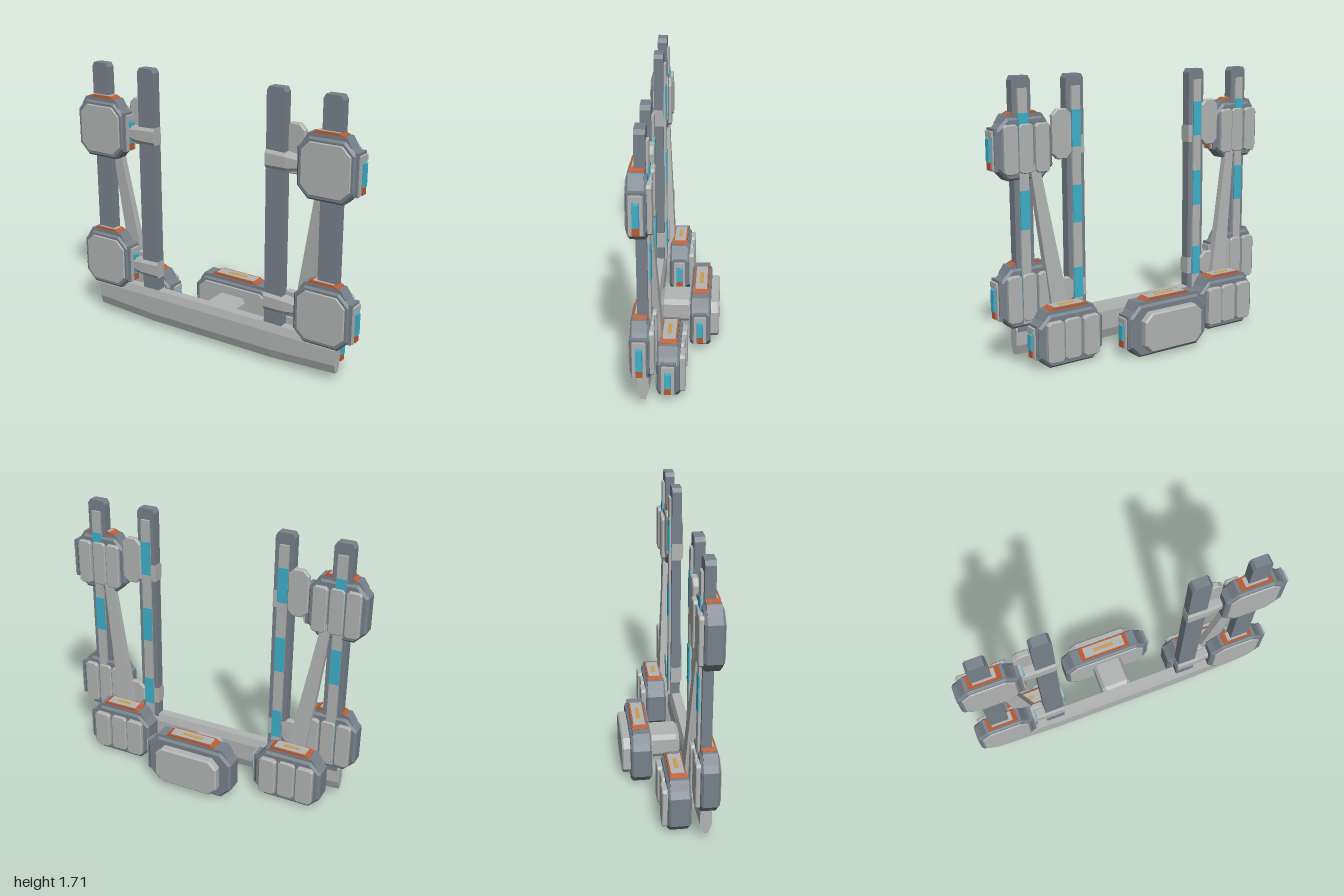
import * as THREE from 'three';

const mat = (name, color) => {
  const m = new THREE.MeshStandardMaterial({ color });
  m.name = name;
  return m;
};

export function createModel() {
  const dark = mat('slate grey', 0x78818a);
  const light = mat('light grey', 0xb2b5b4);
  const orange = mat('burnt orange', 0xbd5c34);
  const cyan = mat('cyan glow', 0x3fb2cc);
  const yellow = mat('amber', 0xc9a052);

  const model = new THREE.Group();
  const CX = -0.018; // mirror plane of the frame

  const add = (parent, name, geo, material) => {
    const m = new THREE.Mesh(geo, material);
    m.name = name;
    parent.add(m);
    return m;
  };

  // box given by its min and max on each axis
  const box = (parent, name, material, x0, x1, y0, y1, z0, z1) => {
    const g = new THREE.BoxGeometry(x1 - x0, y1 - y0, z1 - z0);
    g.translate((x0 + x1) / 2, (y0 + y1) / 2, (z0 + z1) / 2);
    return add(parent, name, g, material);
  };

  const polygon = pts => new THREE.Shape(pts.map(p => new THREE.Vector2(p[0], p[1])));

  // rectangle centred at (x, y) with cut corners
  const octagon = (x, y, w, h, c) => {
    const a = w / 2, b = h / 2;
    return polygon([[-a + c, -b], [a - c, -b], [a, -b + c], [a, b - c],
      [a - c, b], [-a + c, b], [-a, b - c], [-a, -b + c]].map(p => [p[0] + x, p[1] + y]));
  };

  // shape extruded between two depths, bevelled inward
  const slab = (parent, name, material, shape, z0, z1, bevel = 0) => {
    const g = new THREE.ExtrudeGeometry(shape, {
      depth: z1 - z0 - 2 * bevel, bevelEnabled: bevel > 0, bevelSegments: 1,
      bevelThickness: bevel, bevelSize: bevel, bevelOffset: -bevel,
    });
    g.translate(0, 0, z0 + bevel);
    return add(parent, name, g, material);
  };

  // closed solid through rings, each running counter-clockwise about the path
  const loft = (rings) => {
    const n = rings[0].length, idx = [];
    for (let r = 0; r < rings.length - 1; r++) {
      for (let i = 0; i < n; i++) {
        const a = r * n + i, b = r * n + (i + 1) % n;
        idx.push(a, b, b + n, a, b + n, a + n);
      }
    }
    const last = (rings.length - 1) * n;
    for (let i = 1; i < n - 1; i++) idx.push(0, i + 1, i, last, last + i, last + i + 1);
    const g = new THREE.BufferGeometry();
    g.setAttribute('position', new THREE.Float32BufferAttribute(rings.flat(2), 3));
    g.setIndex(idx);
    const flat = g.toNonIndexed();
    flat.computeVertexNormals();
    return flat;
  };

  // thruster pod: origin at the bottom centre, depth from z0 to z1
  function pod(name, x, y, w, h, z0, z1, capW, wideBack) {
    const g = new THREE.Group();
    g.name = name;
    g.position.set(x, y, 0);
    model.add(g);
    const cy = h / 2, zc = (z0 + z1) / 2, d = z1 - z0;

    // body and face plate
    slab(g, 'podBody', dark, octagon(0, cy, w, h, 0.07), z0, z1, 0.014);
    slab(g, 'podFace', light, octagon(0, cy, w - 0.055, h - 0.055, 0.055), z1 - 0.01, z1 + 0.007, 0.005);

    // rear panels
    if (wideBack) {
      slab(g, 'podBackPlate', light, octagon(0, cy - 0.005, 0.435, 0.25, 0.05), z0 - 0.052, z0 + 0.01, 0.01);
    } else {
      const pw = w * 0.25;
      for (const i of [-1, 0, 1]) {
        slab(g, 'podBackPanel', light, octagon(i * w * 0.28, cy, pw, h - 0.075, 0.015),
          z0 - (i ? 0.03 : 0.02) * d / 0.13, z0 + 0.01, 0.005);
      }
    }

    // collar and orange cap on top
    slab(g, 'podCollar', dark, polygon([[-w / 2 + 0.03, h - 0.035], [w / 2 - 0.03, h - 0.035],
      [w / 2 - 0.065, h + 0.018], [-w / 2 + 0.065, h + 0.018]]), z0 + 0.015, z1 - 0.012);
    const cd = d * 0.36;
    slab(g, 'podCap', orange, polygon([[-capW / 2 - 0.015, h], [capW / 2 + 0.015, h],
      [capW / 2 + 0.015, h + 0.02], [capW / 2 - 0.015, h + 0.034],
      [-capW / 2 + 0.015, h + 0.034], [-capW / 2 - 0.015, h + 0.02]]), zc - cd, zc + cd);
    box(g, 'capInset', light, -capW / 2 + 0.014, capW / 2 - 0.014, h + 0.03, h + 0.036, zc - cd + 0.01, zc + cd - 0.01);
    box(g, 'capStripe', yellow, -capW * 0.22, capW * 0.22, h + 0.033, h + 0.038, zc - 0.012, zc + 0.012);

    // side unit with glowing strip
    const s = w / 2;
    box(g, 'sidePlate', dark, s - 0.01, s + 0.012, 0.06, h - 0.055, zc - 0.046, zc + 0.046);
    for (const k of [-1, 1]) {
      box(g, 'sideRail', light, s, s + 0.022, 0.065, h - 0.075, zc + k * 0.029 - 0.009, zc + k * 0.029 + 0.009);
    }
    box(g, 'sideHood', light, s, s + 0.028, h - 0.105, h - 0.07, zc - 0.034, zc + 0.034);
    box(g, 'sideGlow', cyan, s, s + 0.036, 0.115, h - 0.115, zc - 0.018, zc + 0.018);
    box(g, 'sideFoot', orange, s, s + 0.03, 0.07, 0.112, zc - 0.02, zc + 0.02);
  }

  // cross beam: eight-sided section, slimmer at the ends
  const beamRing = (x, y0, y1, z0, z1) => [
    [x, y0, z0 + 0.02], [x, y0 + 0.06, z0], [x, y1 - 0.05, z0], [x, y1, z0 + 0.014],
    [x, y1, z1 - 0.014], [x, y1 - 0.05, z1], [x, y0 + 0.06, z1], [x, y0, z1 - 0.02]];
  add(model, 'crossBeam', loft([
    beamRing(CX - 0.888, 0.06, 0.262, 0.142, 0.21), beamRing(CX - 0.45, 0.042, 0.27, 0.132, 0.218),
    beamRing(CX + 0.45, 0.042, 0.27, 0.132, 0.218), beamRing(CX + 0.888, 0.06, 0.262, 0.142, 0.21),
  ]), light);

  // stem linking the beam to the centre rear pod
  const stemRing = (z, w, y0, y1) => [
    [CX - w + 0.02, y0, z], [CX + w - 0.02, y0, z], [CX + w, y0 + 0.03, z], [CX + w, y1 - 0.03, z],
    [CX + w - 0.02, y1, z], [CX - w + 0.02, y1, z], [CX - w, y1 - 0.03, z], [CX - w, y0 + 0.03, z]];
  add(model, 'centreStem', loft([
    stemRing(-0.07, 0.1, 0.08, 0.24), stemRing(0.11, 0.1, 0.08, 0.24), stemRing(0.14, 0.085, 0.1, 0.22),
  ]), light);

  pod('centreRearPod', CX, 0, 0.585, 0.325, -0.193, -0.064, 0.31, true);

  for (const s of [-1, 1]) {
    const side = s < 0 ? 'right' : 'left';
    const X = v => CX + s * v;
    const span = (a, b) => s > 0 ? [X(a), X(b)] : [X(b), X(a)];

    // posts with a light rear strip and glowing segments
    for (const [kind, px] of [['Outer', 0.815], ['Inner', 0.46]]) {
      const x = X(px);
      slab(model, side + kind + 'Post', dark, polygon([[x - 0.06, 0.2], [x + 0.06, 0.2], [x + 0.06, 1.685],
        [x + 0.045, 1.71], [x - 0.045, 1.71], [x - 0.06, 1.685]]), 0.14, 0.2);
      box(model, side + kind + 'Strip', light, x - 0.03, x + 0.03, 0.25, 1.64, 0.125, 0.145);
      for (const [y0, y1] of [[0.35, 0.54], [0.82, 1.05], [1.28, 1.5]]) {
        box(model, side + kind + 'Glow', cyan, x - 0.031, x + 0.031, y0, y1, 0.122, 0.13);
      }
    }

    // front pods, arms to the inner post and bracket plates behind them
    for (const [level, y, plateTop] of [['Lower', 0.23, 0.49], ['Upper', 1.113, 1.51]]) {
      pod(side + level + 'Pod', X(0.8), y, 0.364, 0.362, 0.129, 0.238, 0.165, false);
      const armRing = (v, y0, y1, z0, z1) => [
        [X(v), y0, z0], [X(v), y1, z0], [X(v), y1, z1 - 0.012],
        [X(v), y1 - 0.02, z1], [X(v), y0 + 0.02, z1], [X(v), y0, z1 - 0.012]];
      const rings = [armRing(0.398, y + 0.125, y + 0.235, 0.138, 0.212),
        armRing(0.53, y + 0.125, y + 0.23, 0.138, 0.212), armRing(0.66, y + 0.14, y + 0.215, 0.145, 0.2)];
      add(model, side + level + 'Arm', loft(s > 0 ? rings : rings.reverse()), light);
      slab(model, side + level + 'Bracket', light,
        octagon(X(0.56), (y + 0.1 + plateTop) / 2, 0.13, plateTop - y - 0.1, 0.035), 0.118, 0.155, 0.006);
    }

    // rear side pod with mounting blocks to the beam
    pod(side + 'RearPod', X(0.605), 0, 0.44, 0.325, -0.03, 0.105, 0.235, false);
    const [m0, m1] = span(0.52, 0.7);
    box(model, side + 'RearMount', light, m0, m1, 0.1, 0.23, 0.09, 0.145);

    // tapered brace leaning from the outer post to the rear pod
    const braceRing = (v, y, w, z0, z1) => [
      [X(v) - w, y, z0], [X(v) - w, y, z1], [X(v) + w, y, z1], [X(v) + w, y, z0]];
    add(model, side + 'Brace', loft([
      braceRing(0.605, 0.25, 0.06, 0.075, 0.125), braceRing(0.745, 1.2, 0.03, 0.125, 0.165),
    ]), light);
  }

  return model;
}
